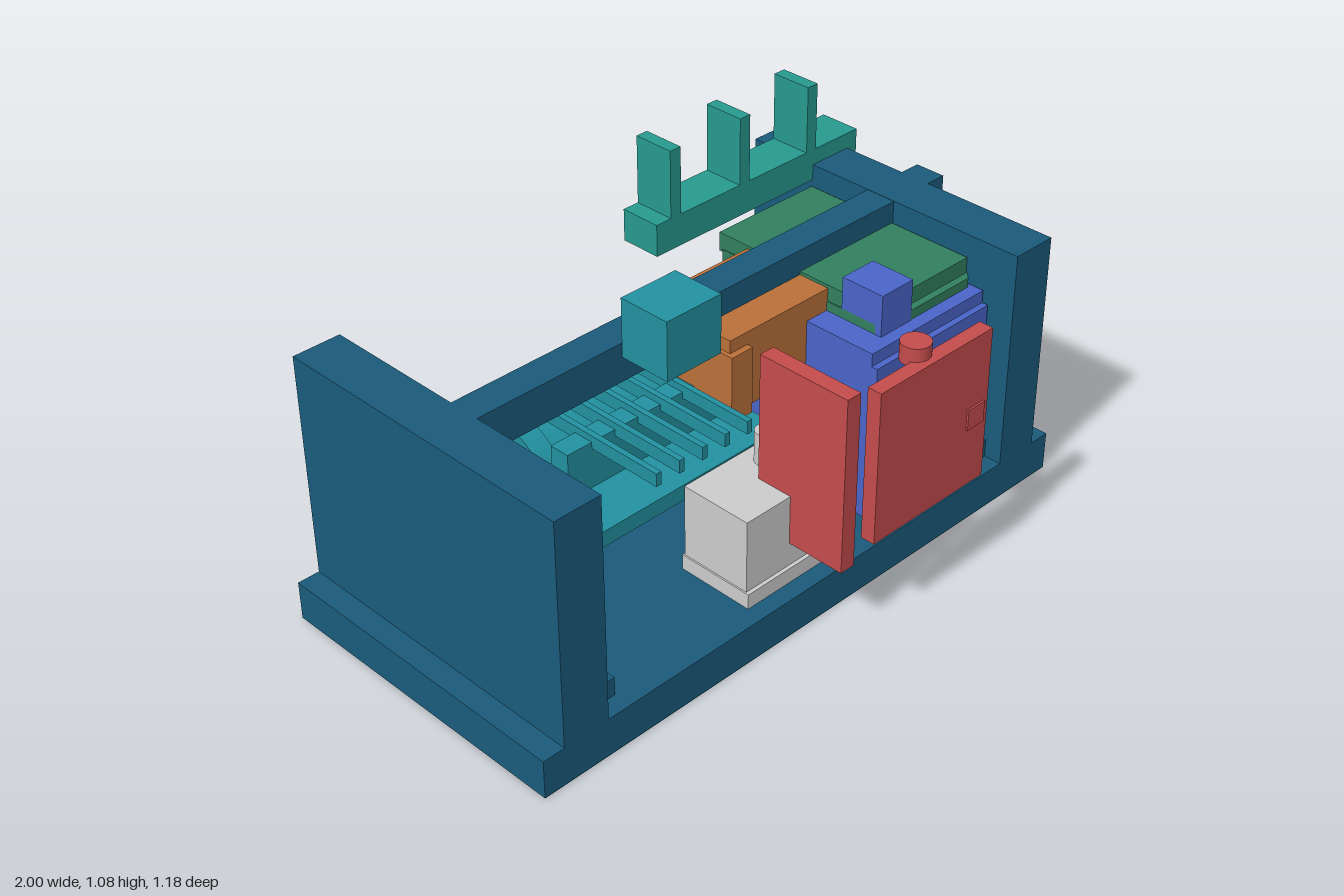
import * as THREE from 'three';

const mat = (color) => new THREE.MeshStandardMaterial({ color });

export function createModel() {
  const model = new THREE.Group();
  const navy = mat(0x1a5a7a), teal = mat(0x2291a0), seaGreen = mat(0x27998f), red = mat(0xc44b4b);
  const blue = mat(0x4a64c8), green = mat(0x327f5f), orange = mat(0xba703a), grey = mat(0xcccccc);

  const add = (name, geometry, material) => {
    const mesh = new THREE.Mesh(geometry, material);
    mesh.name = name;
    model.add(mesh);
    return mesh;
  };
  // Box given by its limits on each axis
  const box = (name, material, [x0, x1], [y0, y1], [z0, z1]) =>
    add(name, new THREE.BoxGeometry(x1 - x0, y1 - y0, z1 - z0), material)
      .position.set((x0 + x1) / 2, (y0 + y1) / 2, (z0 + z1) / 2);
  // Cylinder lying along x
  const drum = (name, material, [x0, x1], r, y, z) => {
    const geometry = new THREE.CylinderGeometry(r, r, x1 - x0, 64).rotateZ(Math.PI / 2);
    add(name, geometry, material).position.set((x0 + x1) / 2, y, z);
  };
  // Upright cylinder
  const post = (name, material, r, [y0, y1], x, z) =>
    add(name, new THREE.CylinderGeometry(r, r, y1 - y0, 40), material).position.set(x, (y0 + y1) / 2, z);
  // Box with its four upright edges chamfered
  const chamferedBox = (name, material, [x0, x1], [y0, y1], [z0, z1], c) => {
    const shape = new THREE.Shape([
      [x0 + c, -z0], [x0, -z0 - c], [x0, -z1 + c], [x0 + c, -z1],
      [x1 - c, -z1], [x1, -z1 + c], [x1, -z0 - c], [x1 - c, -z0],
    ].map(([x, y]) => new THREE.Vector2(x, y)));
    const geometry = new THREE.ExtrudeGeometry(shape, { depth: y1 - y0, bevelEnabled: false });
    add(name, geometry.rotateX(-Math.PI / 2), material).position.y = y0;
  };

  // Frame: floor, end walls, corner blocks and the cross beam
  const depth = [-0.585, 0.415];
  box('floor', navy, [-1, 1], [0, 0.122], depth);
  for (const s of [-1, 1]) {
    const span = (a, b) => (s > 0 ? [a, b] : [-b, -a]);
    box('endWall', navy, span(0.78, 0.93), [0.12, 0.82], depth);
    for (const z of [-0.53, 0.25]) box('cornerBlock', navy, span(0.705, 0.785), [0.12, 0.18], [z, z + 0.108]);
  }
  box('crossBeam', navy, [-0.92, 1], [0.7, 0.819], [-0.135, -0.035]);

  // Drum with end flanges
  const axisY = 0.295, axisZ = -0.34;
  drum('drumBody', teal, [-0.45, 0.12], 0.21, axisY, axisZ);
  for (const x of [-0.485, 0.09]) drum('drumFlange', teal, [x, x + 0.065], 0.25, axisY, axisZ);

  // Shelf with upright web and cooling bars
  box('shelf', teal, [-0.545, 0.17], [0.35, 0.4], [-0.285, 0.11]);
  box('shelfWeb', teal, [-0.475, 0.1], [0.4, 0.545], [-0.12, -0.055]);
  for (let i = 0; i < 5; i++) {
    const x = -0.38 + i * 0.084;
    box('coolingBar', teal, [x - 0.009, x + 0.009], [0.525, 0.566], [-0.36, 0.19]);
  }

  // Transfer housing and wheel
  box('housing', orange, [0.003, 0.39], [0.5, 0.74], [-0.24, 0.07]);
  box('housingCollar', orange, [-0.01, 0.07], [0.49, 0.7], [-0.27, 0.09]);
  drum('wheel', orange, [0.185, 0.225], 0.2, 0.37, -0.28);

  // Cabinet, its front panel and top block
  box('cabinet', blue, [0.305, 0.775], [0.122, 0.67], [-0.285, 0.31]);
  box('cabinetPanel', blue, [0.305, 0.775], [0.155, 0.63], [0.3, 0.33]);
  box('cabinetTopBlock', blue, [0.385, 0.51], [0.66, 0.8], [0.125, 0.27]);

  // Tank behind and above the cabinet
  chamferedBox('tank', green, [0.385, 0.778], [0.121, 0.7], [-0.355, 0.268], 0.02);
  box('tankLid', green, [0.388, 0.776], [0.69, 0.75], [-0.35, 0.245]);

  // Pump with outlet
  box('pump', grey, [-0.215, 0.125], [0.12, 0.4], [0.115, 0.348]);
  box('pumpFoot', grey, [-0.22, 0.13], [0.12, 0.17], [0.11, 0.36]);
  post('pumpOutlet', grey, 0.032, [0.39, 0.5], 0.025, 0.185);

  // Control box with the button below it
  box('controlBox', teal, [-0.295, -0.1], [0.78, 0.96], [-0.03, 0.138]);
  post('controlButton', grey, 0.045, [0.77, 0.8], -0.118, 0.02);

  // Open doors, knob and latch
  box('frontDoor', red, [0.025, 0.47], [0.325, 0.8], [0.535, 0.58]);
  box('sideDoor', red, [-0.05, 0], [0.245, 0.795], [0.23, 0.535]);
  post('doorKnob', red, 0.043, [0.785, 0.84], 0.23, 0.517);
  box('doorLatch', red, [0.385, 0.452], [0.515, 0.58], [0.527, 0.586]);

  // Top rail with three posts
  const railZ = [-0.483, -0.35];
  box('rail', seaGreen, [0.14, 0.97], [0.77, 0.87], railZ);
  for (const x of [0.215, 0.49, 0.77]) box('railPost', seaGreen, [x - 0.02, x + 0.02], [0.86, 1.08], railZ);

  return model;
}
